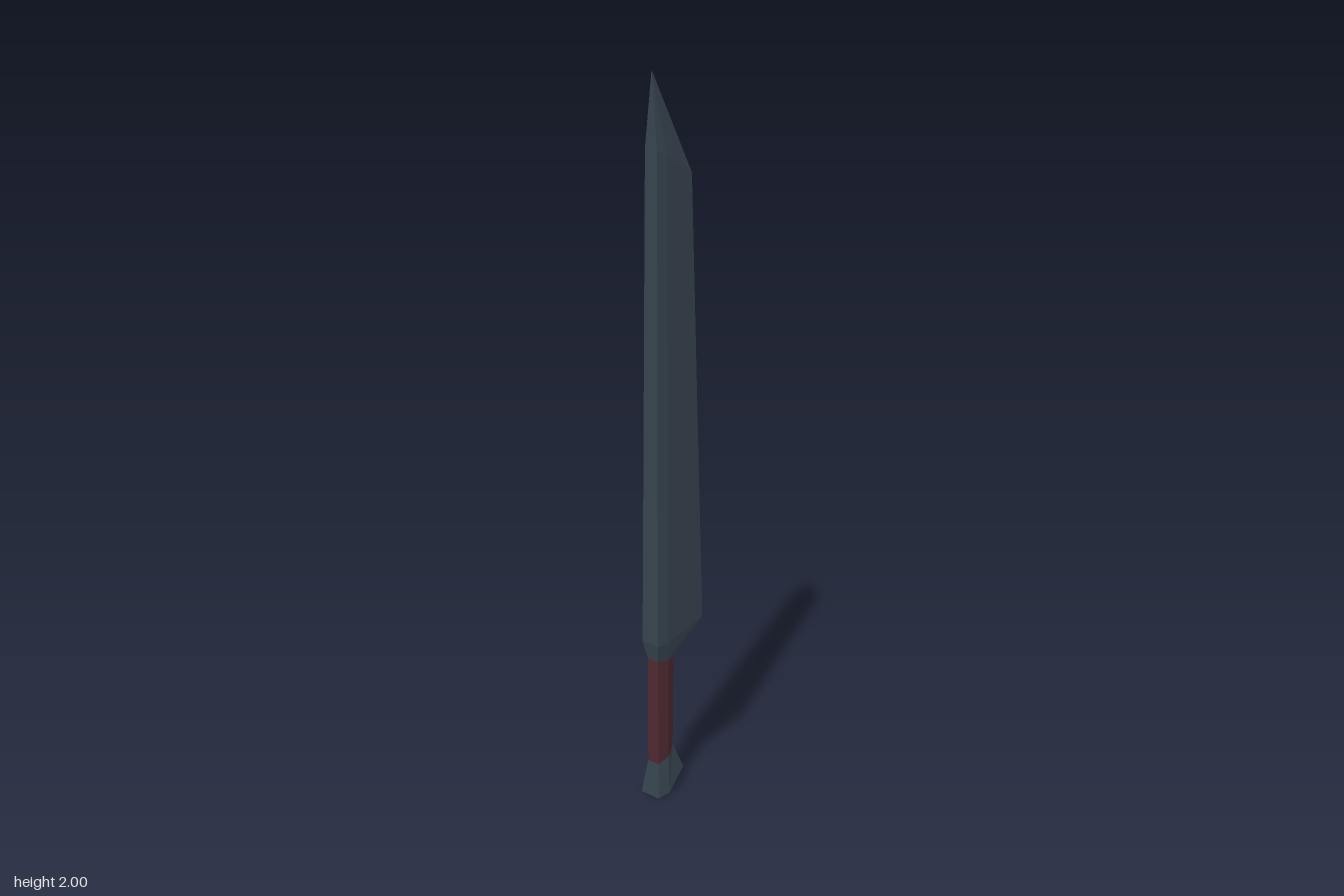
import * as THREE from 'three';

const steel = new THREE.MeshStandardMaterial({ color: 0x37444f });
steel.name = 'dark steel';
const leather = new THREE.MeshStandardMaterial({ color: 0x4f2a31 });
leather.name = 'dark red leather';
for (const m of [steel, leather]) m.flatShading = true;

// Five-sided wedge section: flat spine, flat cheeks, pointed edge.
// Each corner pair has its own height so sections can slant.
function section(spineX, spineY, cheekX, cheekY, edgeX, edgeY, half) {
  return [
    [spineX, spineY, half], [cheekX, cheekY, half], [edgeX, edgeY, 0],
    [cheekX, cheekY, -half], [spineX, spineY, -half],
  ].map((p) => new THREE.Vector3(...p));
}

// Skin a stack of sections from bottom to top, with both ends capped.
function loft(name, sections, material) {
  const points = [];
  const face = (a, b, c) => {
    if (new THREE.Triangle(a, b, c).getArea() > 1e-8) points.push(a, b, c);
  };
  for (let s = 0; s < sections.length - 1; s++) {
    const low = sections[s], high = sections[s + 1];
    for (let i = 0; i < 5; i++) {
      const j = (i + 1) % 5;
      face(low[i], low[j], high[j]);
      face(low[i], high[j], high[i]);
    }
  }
  const bottom = sections[0], top = sections[sections.length - 1];
  for (let i = 1; i < 4; i++) {
    face(bottom[0], bottom[i + 1], bottom[i]);
    face(top[0], top[i], top[i + 1]);
  }
  const geometry = new THREE.BufferGeometry().setFromPoints(points);
  geometry.computeVertexNormals();
  const mesh = new THREE.Mesh(geometry, material);
  mesh.name = name;
  return mesh;
}

export function createModel() {
  const group = new THREE.Group();
  group.name = 'sword';

  const gripBottom = section(-0.09, 0.095, -0.05, 0.105, -0.015, 0.125, 0.02);
  const gripTop = section(-0.09, 0.4, -0.05, 0.395, -0.012, 0.385, 0.02);

  // Flared pommel with a slanted underside
  group.add(loft('pommel', [
    section(-0.103, 0, -0.06, 0.003, 0.027, 0.043, 0.033),
    gripBottom,
  ], steel));

  group.add(loft('grip', [gripBottom, gripTop], leather));

  // Collar, long tapering body and slanted point
  group.add(loft('blade', [
    gripTop,
    section(-0.1, 0.45, -0.06, 0.45, 0.1, 0.475, 0.03),
    section(-0.091, 1.8, -0.055, 1.78, 0.056, 1.72, 0.022),
    section(-0.088, 2, -0.088, 2, -0.088, 2, 0),
  ], steel));

  return group;
}
